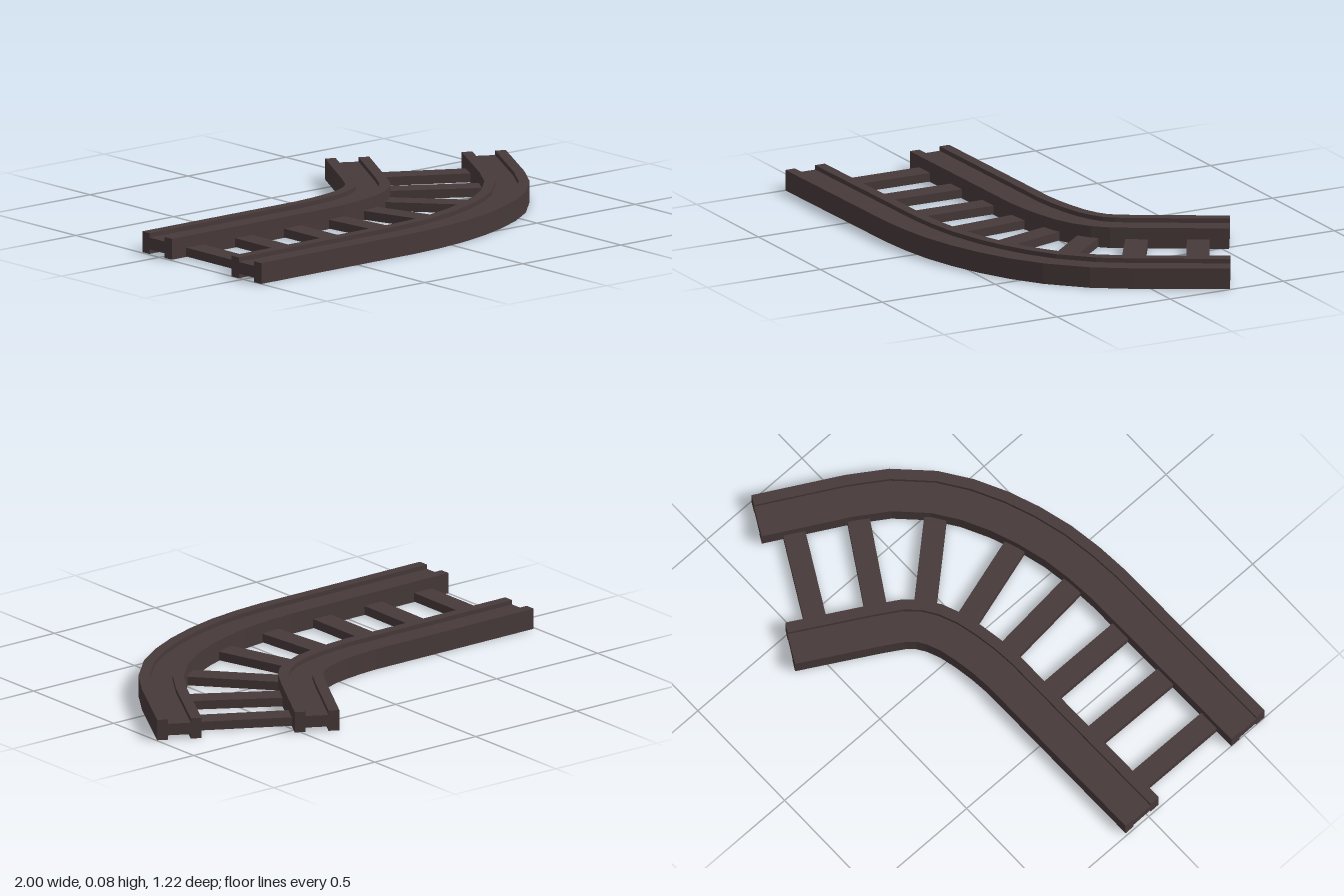
import * as THREE from 'three';

const wood = new THREE.MeshStandardMaterial({ color: 0x473939 });
wood.name = 'dark brown';

const H = 0.083, HALF = 0.0875, GROOVE = 0.045, DEPTH = 0.018;

// Rail centre lines as [x, z]
const innerPath = [[-0.99, -0.025], [-0.2, -0.032], [-0.11, -0.04], [-0.025, -0.054], [0.055, -0.073],
  [0.125, -0.102], [0.175, -0.135], [0.215, -0.178], [0.27, -0.267], [0.443, -0.568]];
const outerPath = [[-1, 0.52], [-0.21, 0.51], [-0.08, 0.5], [0.05, 0.48], [0.18, 0.445], [0.3, 0.4],
  [0.42, 0.34], [0.53, 0.265], [0.65, 0.145], [0.74, 0.01], [0.92, -0.31]];

// Tie ends as [x, z, x, z], inner rail to outer rail
const ties = [[-0.872, 0.05, -0.874, 0.44], [-0.62, 0.05, -0.625, 0.44], [-0.368, 0.05, -0.369, 0.43],
  [-0.138, 0.04, -0.102, 0.44], [0.061, 0, 0.174, 0.386], [0.213, -0.071, 0.474, 0.225],
  [0.328, -0.22, 0.677, -0.003], [0.442, -0.43, 0.798, -0.23]];

// H-shaped section swept along a path, mitred at each bend
function rail(path, name) {
  const section = new THREE.Shape([[-HALF, 0], [-GROOVE, 0], [-GROOVE, DEPTH], [GROOVE, DEPTH],
    [GROOVE, 0], [HALF, 0], [HALF, H], [GROOVE, H], [GROOVE, H - DEPTH], [-GROOVE, H - DEPTH],
    [-GROOVE, H], [-HALF, H]].map(([u, y]) => new THREE.Vector2(u, y)));
  const last = path.length - 1;
  const pts = path.map(([x, z]) => new THREE.Vector2(x, z));
  const dirs = pts.slice(1).map((p, i) => p.clone().sub(pts[i]).normalize());
  const geo = new THREE.ExtrudeGeometry(section, { steps: last, depth: last, bevelEnabled: false });
  const pos = geo.attributes.position;
  for (let i = 0; i < pos.count; i++) {
    const s = Math.round(pos.getZ(i));
    const a = dirs[Math.max(s - 1, 0)], b = dirs[Math.min(s, last - 1)];
    const d = a.clone().add(b).normalize();
    const u = pos.getX(i) / d.dot(a);
    pos.setXYZ(i, pts[s].x + d.y * u, pos.getY(i), pts[s].y - d.x * u);
  }
  geo.computeVertexNormals();
  const mesh = new THREE.Mesh(geo, wood);
  mesh.name = name;
  return mesh;
}

export function createModel() {
  const model = new THREE.Group();
  model.name = 'curvedTrack';
  model.add(rail(innerPath, 'innerRail'), rail(outerPath, 'outerRail'));

  // Low cross ties fanning around the bend
  ties.forEach(([x1, z1, x2, z2], i) => {
    const length = Math.hypot(x2 - x1, z2 - z1);
    const tie = new THREE.Mesh(new THREE.BoxGeometry(0.088, 0.035, length), wood);
    tie.position.set((x1 + x2) / 2, 0.0195, (z1 + z2) / 2);
    tie.rotation.y = Math.atan2(x2 - x1, z2 - z1);
    tie.name = `tie${i + 1}`;
    model.add(tie);
  });
  return model;
}
